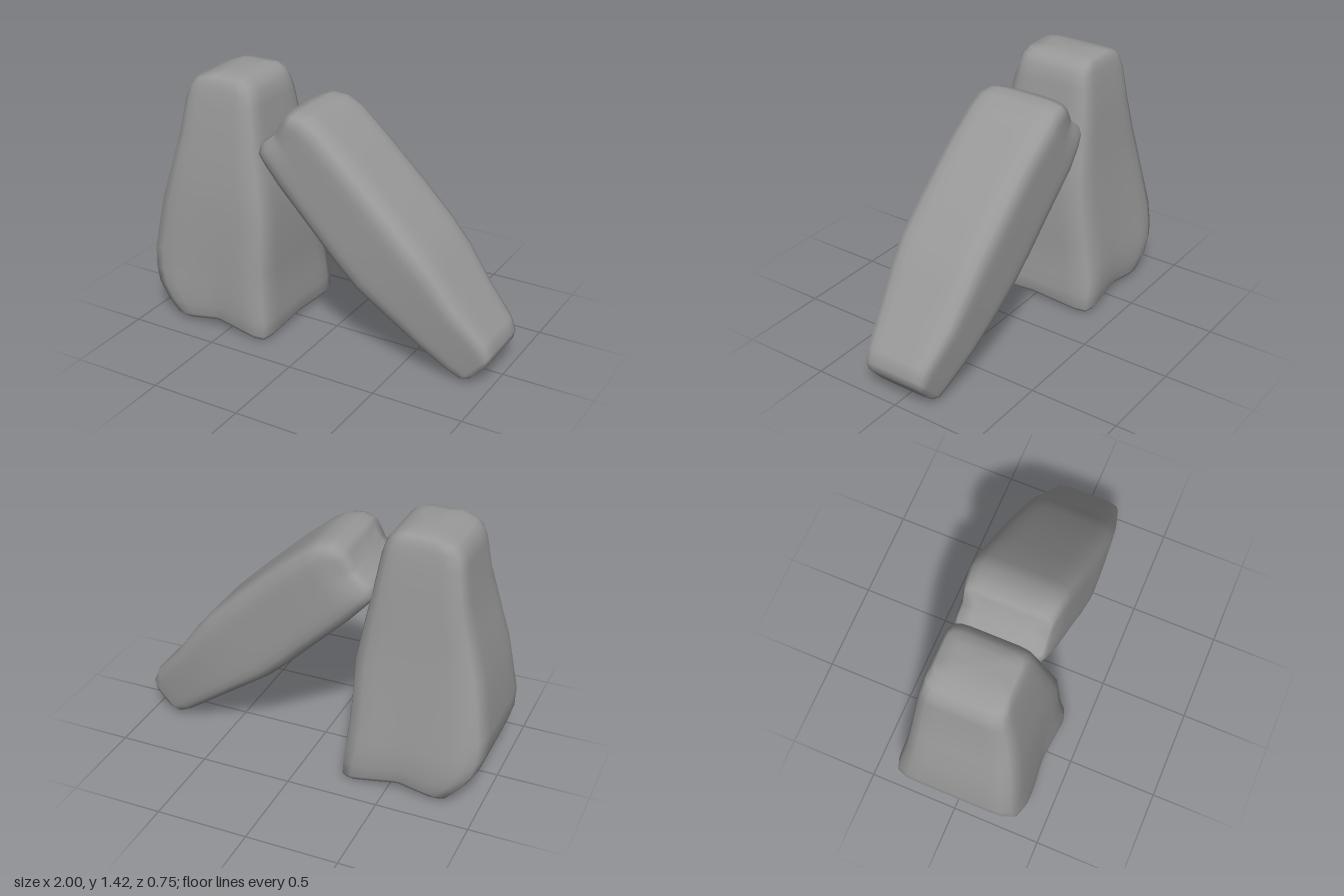
import * as THREE from 'three';

const SEGMENTS = 48;

// Lofts a closed, soft-cornered stone through rings running from foot to head.
// Ring: [x1, y1, x2, y2, zBack, zFront], the two ends of its width and its depth.
// Corners run from squareness footN at the foot to headN at the head.
function stone(name, rings, footN, headN, reshape) {
  const positions = [], index = [];
  const add = (x, y, z) => {
    const p = new THREE.Vector3(x, y, z);
    reshape(p);
    positions.push(p.x, p.y, p.z);
  };
  rings.forEach(([x1, y1, x2, y2, z1, z2], i) => {
    const n = THREE.MathUtils.lerp(footN, headN, i / (rings.length - 1));
    for (let j = 0; j < SEGMENTS; j++) {
      const t = (j / SEGMENTS) * Math.PI * 2;
      const c = Math.cos(t), s = Math.sin(t);
      const r = 1 / Math.pow(Math.abs(c) ** n + Math.abs(s) ** n, 1 / n);
      const u = (1 + c * r) / 2, v = (1 + s * r) / 2;
      add(x1 + (x2 - x1) * u, y1 + (y2 - y1) * u, z1 + (z2 - z1) * v);
    }
  });
  const last = (rings.length - 1) * SEGMENTS;
  const foot = rings.length * SEGMENTS, head = foot + 1;
  for (const [x1, y1, x2, y2, z1, z2] of [rings[0], rings[rings.length - 1]]) {
    add((x1 + x2) / 2, (y1 + y2) / 2, (z1 + z2) / 2);
  }
  for (let j = 0; j < SEGMENTS; j++) {
    const k = (j + 1) % SEGMENTS;
    for (let a = 0; a < last; a += SEGMENTS) {
      const b = a + SEGMENTS;
      index.push(a + j, b + j, a + k, a + k, b + j, b + k);
    }
    index.push(foot, j, k, head, last + k, last + j);
  }
  const geometry = new THREE.BufferGeometry();
  geometry.setAttribute('position', new THREE.Float32BufferAttribute(positions, 3));
  geometry.setIndex(index);
  geometry.computeVertexNormals();
  const mesh = new THREE.Mesh(geometry, new THREE.MeshStandardMaterial({ color: 0x999999 }));
  mesh.name = name;
  return mesh;
}

// Worn hollows in the middle of the foot's sides, leaving the corners standing
function hollowFoot(p) {
  const w = Math.max(0, 1 - p.y / 0.3) ** 2;
  const u = (p.x + 0.56) / 0.32, v = p.z / 0.37;
  const frontBack = Math.max(0, 1 - Math.abs(u)) * Math.abs(v) ** 3;
  const right = Math.max(0, 1 - Math.abs(v)) * Math.max(0, u) ** 3;
  p.z *= 1 - 0.07 * Math.max(0, 1 - p.y / 0.7) * frontBack;
  p.y += w * (0.05 * frontBack + 0.03 * right);
}

// Hollows in the front and back of the leaning stone's upper end
function hollowHead(p) {
  const along = (p.y - p.x) * Math.SQRT1_2, across = (p.x + p.y) * Math.SQRT1_2;
  const w = THREE.MathUtils.smoothstep(along, 0.85, 1.03);
  const f = w * Math.max(0, 1 - Math.abs(across - 0.654) / 0.2) * Math.abs(p.z / 0.26) ** 3;
  p.x += 0.035 * f;
  p.y -= 0.035 * f;
  p.z *= 1 - 0.07 * f;
}

export function createModel() {
  const model = new THREE.Group();
  model.name = 'stones';

  // Upright stone: level rings of [y, left x, right x, back z, front z]
  const upright = [
    [0.01, -0.74, -0.29, -0.30, 0.31],
    [0.003, -0.80, -0.25, -0.36, 0.365],
    [0.03, -0.84, -0.233, -0.375, 0.38],
    [0.11, -0.91, -0.235, -0.378, 0.38],
    [0.20, -0.97, -0.243, -0.373, 0.376],
    [0.28, -0.993, -0.25, -0.36, 0.368],
    [0.40, -1.0, -0.257, -0.34, 0.358],
    [0.70, -0.945, -0.262, -0.29, 0.335],
    [0.90, -0.89, -0.30, -0.268, 0.31],
    [1.10, -0.838, -0.34, -0.25, 0.28],
    [1.28, -0.812, -0.37, -0.228, 0.25],
    [1.35, -0.792, -0.387, -0.213, 0.232],
    [1.39, -0.755, -0.415, -0.205, 0.22],
    [1.415, -0.69, -0.45, -0.185, 0.20],
    [1.428, -0.63, -0.50, -0.12, 0.13],
  ].map(([y, x1, x2, z1, z2]) => [x1, y, x2, y, z1, z2]);
  model.add(stone('uprightStone', upright, 12, 6, hollowFoot));

  // Leaning stone: tilted rings from the low end up to the upright stone
  const leaning = [
    [0.91, 0.05, 0.97, 0.12, -0.13, 0.15],
    [0.88, 0.028, 0.992, 0.155, -0.165, 0.185],
    [0.83, 0.015, 1.0, 0.20, -0.178, 0.198],
    [0.76, 0.05, 0.97, 0.27, -0.19, 0.21],
    [0.60, 0.17, 0.82, 0.44, -0.225, 0.25],
    [0.42, 0.30, 0.70, 0.61, -0.245, 0.272],
    [0.25, 0.42, 0.59, 0.74, -0.252, 0.287],
    [0.12, 0.54, 0.41, 0.915, -0.258, 0.285],
    [0.00, 0.66, 0.20, 1.11, -0.262, 0.277],
    [-0.22, 0.88, 0.03, 1.25, -0.272, 0.268],
    [-0.31, 0.98, -0.05, 1.295, -0.265, 0.26],
    [-0.355, 1.04, -0.13, 1.306, -0.255, 0.255],
    [-0.352, 1.10, -0.19, 1.295, -0.24, 0.24],
    [-0.315, 1.125, -0.205, 1.25, -0.17, 0.165],
  ];
  model.add(stone('leaningStone', leaning, 7, 7, hollowHead));
  return model;
}
